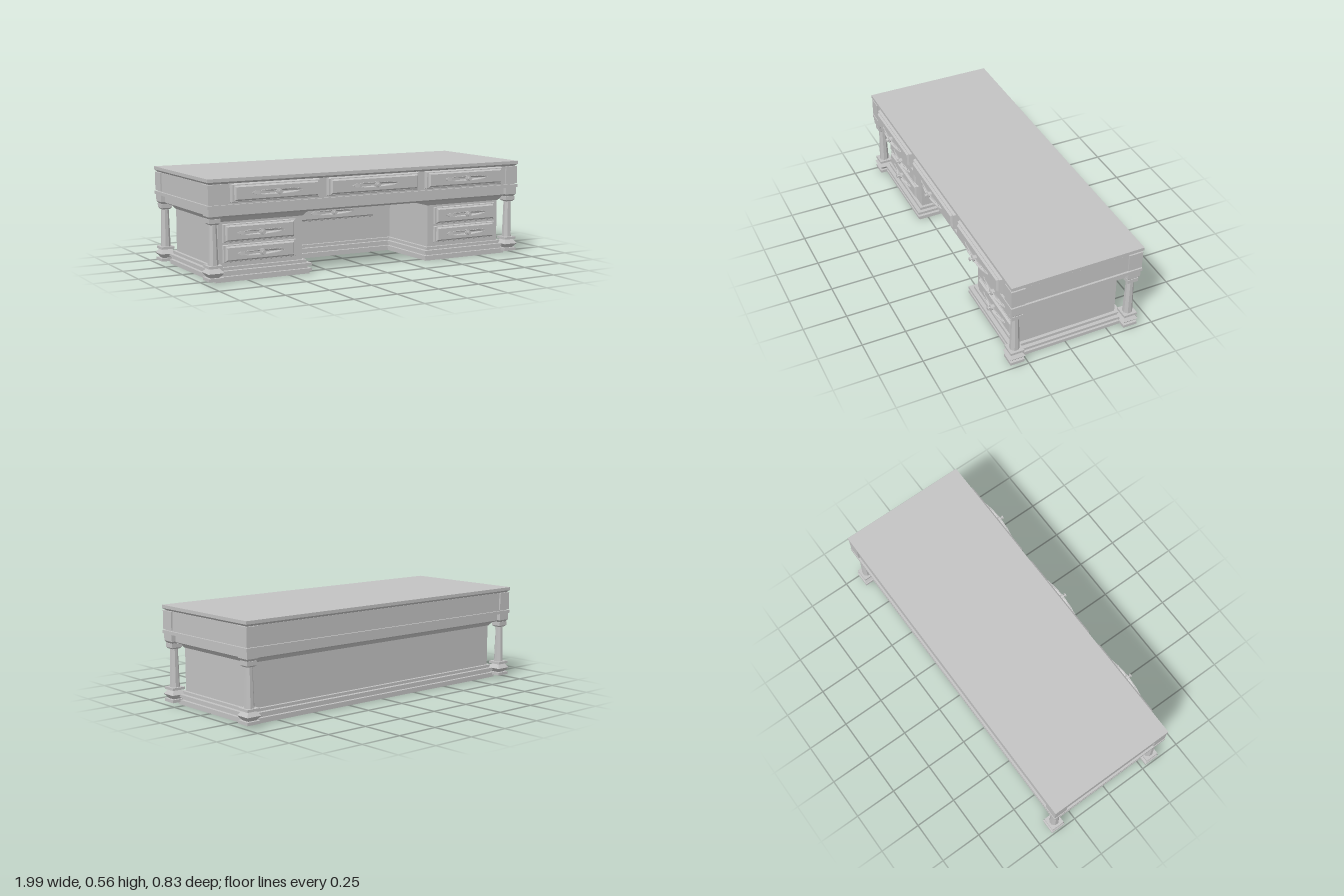
import * as THREE from 'three';

export function createModel() {
  const desk = new THREE.Group();
  desk.name = 'desk';
  const grey = new THREE.MeshStandardMaterial({ color: 0xc2c2c2 });
  grey.name = 'plain grey';

  const add = (parent, name, geometry) => {
    const mesh = new THREE.Mesh(geometry, grey);
    mesh.name = name;
    parent.add(mesh);
    return mesh;
  };

  // box given by its limits
  const block = (parent, name, x0, x1, y0, y1, z0, z1) => {
    const g = new THREE.BoxGeometry(x1 - x0, y1 - y0, z1 - z0);
    g.translate((x0 + x1) / 2, (y0 + y1) / 2, (z0 + z1) / 2);
    return add(parent, name, g);
  };

  // box whose bottom and top are grown outward by different amounts
  const flared = (parent, name, x0, x1, y0, y1, z0, z1, growBottom, growTop) => {
    const g = new THREE.BoxGeometry(x1 - x0, y1 - y0, z1 - z0);
    const p = g.attributes.position;
    for (let i = 0; i < p.count; i++) {
      const grow = p.getY(i) > 0 ? growTop : growBottom;
      p.setX(i, p.getX(i) + Math.sign(p.getX(i)) * grow);
      p.setZ(i, p.getZ(i) + Math.sign(p.getZ(i)) * grow);
    }
    g.translate((x0 + x1) / 2, (y0 + y1) / 2, (z0 + z1) / 2);
    g.computeVertexNormals();
    return add(parent, name, g);
  };

  // --- table top and frieze ---
  const top = new THREE.Group();
  top.name = 'top';
  desk.add(top);
  block(top, 'topSlab', -0.995, 0.995, 0.537, 0.555, -0.41, 0.355);
  flared(top, 'topMoulding', -0.98, 0.98, 0.525, 0.537, -0.395, 0.34, 0, 0.015);
  block(top, 'frieze', -0.983, 0.983, 0.415, 0.525, -0.398, 0.343);
  block(top, 'friezeMoulding', -0.995, 0.995, 0.398, 0.416, -0.41, 0.355);
  block(top, 'lowerFrieze', -0.965, 0.965, 0.355, 0.398, -0.38, 0.325);
  flared(top, 'underMoulding', -0.94, 0.94, 0.343, 0.355, -0.355, 0.305, 0, 0.02);

  // --- corner posts and columns ---
  const column = (cx, cz) => {
    const g = new THREE.Group();
    g.name = 'cornerColumn';
    g.position.set(cx, 0, cz);
    desk.add(g);
    const square = (name, y0, y1, bottom, topHalf) =>
      flared(g, name, -0.02, 0.02, y0, y1, -0.02, 0.02, bottom - 0.02, topHalf - 0.02);
    square('foot', 0.018, 0.035, 0.041, 0.041);
    square('lowerBulge', 0.035, 0.06, 0.025, 0.045);
    square('upperBulge', 0.06, 0.086, 0.045, 0.025);
    square('collar', 0.086, 0.1, 0.039, 0.039);
    const shaft = new THREE.CylinderGeometry(0.021, 0.028, 0.22, 8).toNonIndexed();
    shaft.rotateY(Math.PI / 8);
    shaft.translate(0, 0.21, 0);
    shaft.computeVertexNormals();
    add(g, 'shaft', shaft);
    square('capitalNeck', 0.314, 0.322, 0.022, 0.03);
    square('capital', 0.322, 0.345, 0.031, 0.031);
    square('capitalFlare', 0.345, 0.358, 0.026, 0.037);
    square('postBlock', 0.358, 0.398, 0.037, 0.037);
    square('friezeCorner', 0.422, 0.524, 0.04, 0.04);
  };
  for (const x of [-0.952, 0.952]) for (const z of [-0.367, 0.313]) column(x, z);

  // --- pedestals, modesty panel and stepped plinth ---
  const back = -0.315;
  const steps = [[0, 0.015, 0.03], [0.015, 0.03, 0.04], [0.03, 0.045, 0.022],
    [0.045, 0.06, 0.04], [0.06, 0.076, 0.018]];
  const body = (name, x0, x1, z1) => {
    const g = new THREE.Group();
    g.name = name;
    desk.add(g);
    block(g, 'carcass', x0, x1, 0.07, 0.36, back, z1);
    flared(g, 'cove', x0, x1, 0.318, 0.345, back, z1, 0.003, 0.025);
    for (const [y0, y1, out] of steps) {
      block(g, 'plinthStep', x0 - out, x1 + out, y0, y1, back - out, z1 + out);
    }
  };
  body('rightPedestal', -0.905, -0.41, 0.275);
  body('leftPedestal', 0.41, 0.905, 0.275);
  body('kneeholePanel', -0.42, 0.42, -0.14);

  // --- drawers: bevelled front, raised field, bowed plate and knob ---
  const drawer = (name, x0, x1, y0, y1, z) => {
    const g = new THREE.Group();
    g.name = name;
    g.position.set((x0 + x1) / 2, (y0 + y1) / 2, z);
    desk.add(g);
    const w = x1 - x0, h = y1 - y0;
    const tapered = (partName, pw, ph, z0, z1, inset) => {
      const b = new THREE.BoxGeometry(pw, ph, z1 - z0);
      const p = b.attributes.position;
      for (let i = 0; i < p.count; i++) if (p.getZ(i) > 0) {
        p.setX(i, p.getX(i) - Math.sign(p.getX(i)) * inset);
        p.setY(i, p.getY(i) - Math.sign(p.getY(i)) * inset);
      }
      b.translate(0, 0, (z0 + z1) / 2);
      b.computeVertexNormals();
      add(g, partName, b);
    };
    tapered('drawerFront', w, h, -0.01, 0.012, 0.006);
    tapered('raisedField', w - 0.03, h - 0.018, 0.011, 0.023, 0.009);

    // pointed back plate, bowed forward in the middle
    const half = Math.min(0.15, w * 0.32);
    const outline = [[-1, 0], [-0.84, 0.011], [-0.72, 0.008], [-0.55, 0.015], [-0.25, 0.011], [0, 0.017],
      [0.25, 0.011], [0.55, 0.015], [0.72, 0.008], [0.84, 0.011], [1, 0]];
    const points = outline.map(([x, y]) => new THREE.Vector2(x * half, y));
    for (const [x, y] of outline.slice(1, -1).reverse()) points.push(new THREE.Vector2(x * half, -y));
    const plate = new THREE.ExtrudeGeometry(new THREE.Shape(points), { depth: 0.005, bevelEnabled: false });
    const p = plate.attributes.position;
    for (let i = 0; i < p.count; i++) {
      p.setZ(i, p.getZ(i) + 0.021 + 0.017 * (1 - (p.getX(i) / half) ** 2));
    }
    plate.computeVertexNormals();
    add(g, 'handlePlate', plate);

    const profile = [[0, 0.02], [0.015, 0.02], [0.017, 0.044], [0.006, 0.046], [0.005, 0.056],
      [0.011, 0.057], [0.011, 0.062], [0, 0.062]].map(([r, y]) => new THREE.Vector2(r, y));
    const knob = new THREE.LatheGeometry(profile, 12).toNonIndexed();
    knob.rotateX(Math.PI / 2);
    knob.computeVertexNormals();
    add(g, 'knob', knob);
  };

  drawer('topRightDrawer', -0.865, -0.34, 0.425, 0.526, 0.352);
  drawer('topMiddleDrawer', -0.295, 0.295, 0.425, 0.526, 0.352);
  drawer('topLeftDrawer', 0.34, 0.88, 0.425, 0.526, 0.352);
  for (const [y0, y1] of [[0.095, 0.196], [0.202, 0.308]]) {
    drawer('rightPedestalDrawer', -0.885, -0.448, y0, y1, 0.275);
    drawer('leftPedestalDrawer', 0.448, 0.885, y0, y1, 0.275);
  }
  drawer('kneeholeDrawer', -0.3, 0.3, 0.208, 0.312, -0.14);

  return desk;
}
